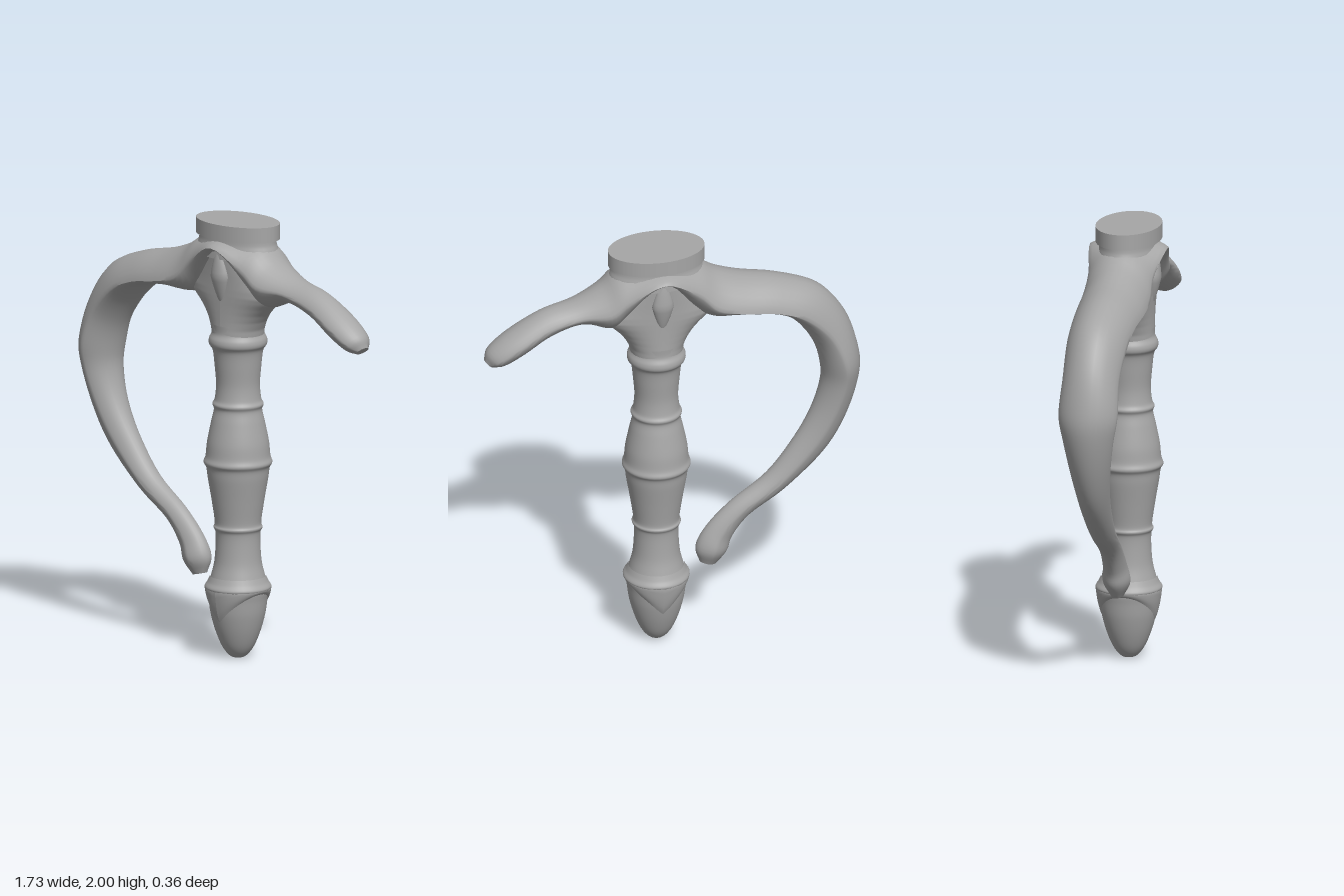
import * as THREE from 'three';
import { toCreasedNormals } from 'three/addons/utils/BufferGeometryUtils.js';

const CX = 0.07; // grip axis
const metal = new THREE.MeshStandardMaterial({ color: 0xa6a6a6 });
metal.name = 'grey metal';

function add(group, name, geometry, x = 0, y = 0, z = 0) {
  const mesh = new THREE.Mesh(geometry, metal);
  mesh.name = name;
  mesh.position.set(x, y, z);
  group.add(mesh);
  return mesh;
}

// Smooth lathe from [radius, y] points, bottom to top
function turned(points, steps = 60) {
  const curve = new THREE.SplineCurve(points.map(p => new THREE.Vector2(p[0], p[1])));
  const profile = curve.getPoints(steps).map(p => new THREE.Vector2(Math.max(p.x, 0), p.y));
  return new THREE.LatheGeometry(profile, 40);
}

// Moves every vertex by a rule and refreshes the normals
function reshape(geometry, rule) {
  const pos = geometry.attributes.position;
  const v = new THREE.Vector3();
  for (let i = 0; i < pos.count; i++) {
    rule(v.fromBufferAttribute(pos, i));
    pos.setXYZ(i, v.x, v.y, v.z);
  }
  geometry.computeVertexNormals();
  return geometry;
}

// Linear lookup of [value, y] points at height y
function lookup(points, y) {
  let k = 1;
  while (k < points.length - 1 && points[k][1] < y) k++;
  const [a, y0] = points[k - 1], [b, y1] = points[k];
  return a + (b - a) * (y - y0) / (y1 - y0);
}

// Sweeps a lipped section along stations:
// [outer x, y, inner x, y, half depth, side lips, inner face]
// the last two are fractions of the way from outer to inner.
function guardGeometry(stations, steps = 110, sides = 28) {
  const at = (s, f, z) => new THREE.Vector3(s[0] + (s[2] - s[0]) * f, s[1] + (s[3] - s[1]) * f, z);
  const rail = fn => new THREE.CatmullRomCurve3(stations.map(fn), false, 'catmullrom', 0.5);
  const rails = [rail(s => at(s, 0, 0)), rail(s => at(s, s[5], s[4])), rail(s => at(s, s[6], 0))];
  const verts = [], index = [];
  for (let i = 0; i <= steps; i++) {
    const [outer, lip, inner] = rails.map(r => r.getPoint(i / steps));
    const mid = new THREE.Vector3(lip.x, lip.y, 0);
    for (let j = 0; j < sides; j++) {
      const a = (j / sides) * Math.PI * 2, c = Math.cos(a);
      const p = mid.clone().lerp(c > 0 ? outer : inner, Math.abs(c) ** 1.4);
      verts.push(p.x, p.y, lip.z * Math.sin(a));
      if (i < steps) {
        const k = i * sides + j, n = i * sides + (j + 1) % sides;
        index.push(k, n, k + sides, n, n + sides, k + sides);
      }
    }
  }
  // closed tips
  const last = steps * sides;
  for (let j = 1; j < sides - 1; j++) {
    index.push(0, j + 1, j, last, last + j, last + j + 1);
  }
  const g = new THREE.BufferGeometry();
  g.setAttribute('position', new THREE.Float32BufferAttribute(verts, 3));
  g.setIndex(index);
  return toCreasedNormals(g, 0.8);
}

export function createModel() {
  const model = new THREE.Group();
  model.name = 'swordHilt';

  // Grip with raised bands and a swollen middle
  add(model, 'grip', turned([
    [0.135, 0.33], [0.12, 0.38], [0.106, 0.44], [0.1, 0.52], [0.101, 0.575],
    [0.11, 0.597], [0.104, 0.622], [0.118, 0.72], [0.135, 0.82], [0.142, 0.87],
    [0.154, 0.895], [0.145, 0.925], [0.138, 0.99], [0.12, 1.08], [0.108, 1.135],
    [0.115, 1.16], [0.104, 1.185], [0.098, 1.25], [0.104, 1.33], [0.113, 1.405],
    [0.13, 1.435], [0.13, 1.46], [0.117, 1.49], [0.118, 1.53],
  ], 150), CX);

  // Pommel
  const pommelProfile = [
    [0, 0], [0.035, 0.008], [0.07, 0.05], [0.1, 0.12],
    [0.122, 0.2], [0.132, 0.27], [0.138, 0.32], [0.125, 0.36],
  ];
  add(model, 'pommel', turned(pommelProfile), CX);

  // Pommel collar, drooping to a point at front and back
  add(model, 'pommelCollar', reshape(new THREE.CylinderGeometry(1, 1, 1, 48, 8, true), v => {
    const t = 0.5 - v.y, angle = Math.atan2(v.x, v.z);
    const y = 0.335 - t * (0.03 + 0.135 * (1 - Math.abs(Math.sin(angle))));
    const r = lookup(pommelProfile, y) + 0.011 * (1 - t ** 4);
    v.set(Math.sin(angle) * r, y, Math.cos(angle) * r);
  }), CX);
  add(model, 'pommelRim', turned([[0.135, 0.305], [0.15, 0.325], [0.136, 0.35], [0.125, 0.375]], 16), CX);

  // Throat flaring sideways under both arms of the guard
  const throatWidth = [
    [0.117, 1.47], [0.125, 1.51], [0.146, 1.55], [0.172, 1.585], [0.208, 1.62],
    [0.24, 1.645], [0.265, 1.67], [0.265, 1.7], [0.22, 1.77], [0.14, 1.87],
  ];
  add(model, 'throat', reshape(turned([
    [0.117, 1.47], [0.115, 1.55], [0.115, 1.65], [0.118, 1.75], [0.128, 1.87],
  ], 60), v => {
    v.x *= lookup(throatWidth, v.y) / 0.117;
  }), CX);

  // Pointed leaf ridges on front and back of the throat
  for (const side of [1, -1]) {
    const leaf = reshape(new THREE.SphereGeometry(1, 20, 20), v => {
      const taper = 1.25 - 0.6 * Math.abs(v.y);
      v.set(v.x * 0.04 * taper, v.y * 0.13, v.z * 0.026 * taper);
    });
    add(model, 'throatLeaf', leaf, CX, 1.76, side * 0.115).rotation.x = side * 0.08;
  }

  // Knuckle bow, centre to tip
  const bow = [
    [-0.1, 1.915, -0.07, 1.61, 0.15, 0.36, 0.7],
    [-0.2, 1.86, -0.17, 1.635, 0.155, 0.63, 0.97],
    [-0.32, 1.815, -0.3, 1.652, 0.155, 0.8, 1],
    [-0.5, 1.775, -0.45, 1.63, 0.145, 0.82, 1],
    [-0.68, 1.7, -0.56, 1.55, 0.138, 0.7, 1],
    [-0.8, 1.55, -0.65, 1.42, 0.13, 0.58, 1],
    [-0.86, 1.36, -0.688, 1.29, 0.135, 0.5, 1],
    [-0.86, 1.22, -0.688, 1.19, 0.115, 0.5, 1],
    [-0.8, 1.02, -0.645, 1.06, 0.09, 0.5, 1],
    [-0.7, 0.85, -0.565, 0.92, 0.072, 0.5, 1],
    [-0.52, 0.68, -0.44, 0.76, 0.06, 0.5, 1],
    [-0.36, 0.57, -0.27, 0.635, 0.052, 0.5, 1],
    [-0.28, 0.47, -0.16, 0.525, 0.055, 0.5, 1],
    [-0.255, 0.4, -0.112, 0.43, 0.063, 0.5, 1],
    [-0.205, 0.338, -0.13, 0.355, 0.03, 0.5, 1],
  ];
  // Centre and short quillon
  const quillon = [
    [0.07, 1.935, 0.07, 1.74, 0.178, 0.2, 0.36],
    [0.24, 1.915, 0.2, 1.61, 0.148, 0.36, 0.7],
    [0.33, 1.845, 0.29, 1.635, 0.135, 0.5, 1],
    [0.45, 1.785, 0.42, 1.673, 0.095, 0.55, 1],
    [0.6, 1.747, 0.56, 1.63, 0.085, 0.55, 1],
    [0.75, 1.665, 0.68, 1.555, 0.09, 0.5, 1],
    [0.845, 1.59, 0.77, 1.508, 0.075, 0.5, 1],
    [0.865, 1.535, 0.825, 1.5, 0.035, 0.5, 1],
  ];
  add(model, 'guard', guardGeometry([...bow.reverse(), ...quillon]));

  // Oval neck and blade seat
  const neck = add(model, 'neck', turned([[0.22, 1.84], [0.216, 1.88], [0.207, 1.91], [0.205, 1.94]], 20), CX);
  neck.scale.z = 0.62;
  const seat = add(model, 'bladeSeat', new THREE.CylinderGeometry(0.22, 0.22, 0.07, 48), CX, 1.965);
  seat.scale.z = 0.66;

  return model;
}
